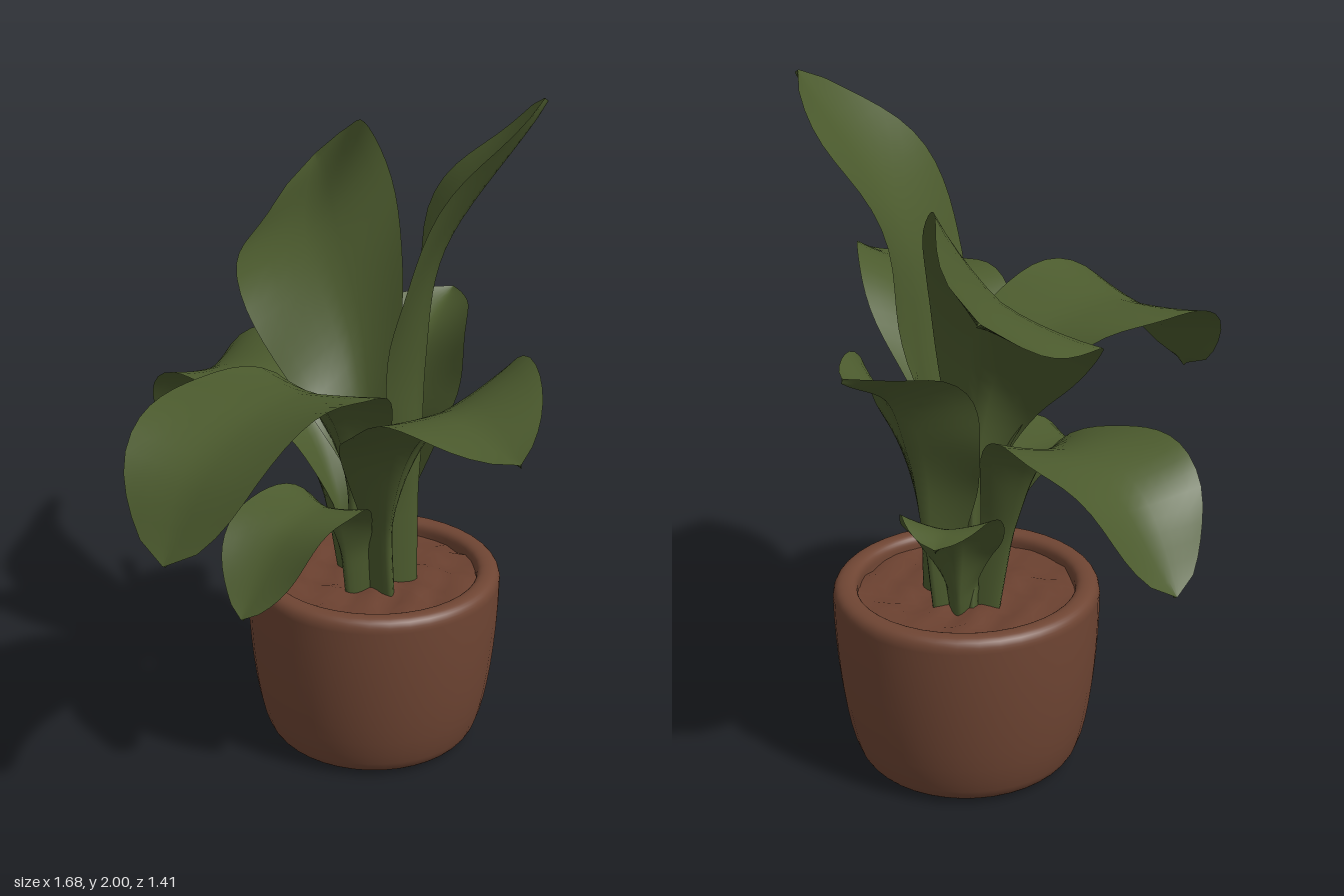
import * as THREE from 'three';

const V = (x, y, z) => new THREE.Vector3(x, y, z);
const POT = V(-0.018, 0, -0.255);

// Leaf with a channelled stalk, a curled blade and a thick midrib underneath.
// It roots near the pot centre and passes through the points; the last is the tip.
// A smaller taper gives a blunter tip.
function makeLeaf(name, material, { halfWidth, roll = 0, fold = 0.2, taper = 0.65 }, points) {
  const tip = points[points.length - 1];
  const lean = V(tip[0] - POT.x, 0, tip[2] - POT.z).normalize();
  const root = POT.clone().addScaledVector(lean, 0.055).setY(0.48);
  const path = new THREE.CatmullRomCurve3([root, ...points.map(p => V(...p))]);
  const across = V(lean.z * Math.cos(roll), Math.sin(roll), -lean.x * Math.cos(roll));
  const top = [], under = [], ROWS = 32, COLS = 10;
  for (let i = 0; i <= ROWS; i++) {
    const t = i / ROWS;
    const centre = path.getPointAt(t);
    const normal = path.getTangentAt(t).cross(across).normalize();
    // Narrow stalk that swells into a pointed oval blade
    const u = Math.max(0, (t - 0.2) / 0.8);
    const oval = Math.max(0, Math.sin(Math.PI * Math.pow(u, 1.4)));
    const blade = Math.pow(oval, u < 0.61 ? 0.85 : taper);
    const w = 0.003 + 0.045 * (1 - u) + halfWidth * blade;
    const stalk = 1 - THREE.MathUtils.smoothstep(t, 0.15, 0.5);
    const curl = fold + 0.45 * stalk;
    const thick = 0.008 + 0.055 * Math.pow(1 - t, 1.5);
    const upperRow = [], lowerRow = [];
    for (let j = 0; j <= COLS; j++) {
      const v = j / COLS * 2 - 1, e = Math.abs(v);
      const wave = 0.07 * Math.sin(t * 17 + (v > 0 ? 1.5 : 0)) * e * e * (1 - stalk);
      const lift = w * (curl * (Math.pow(e, 1.4) - 0.35) + wave);
      const p = centre.clone().addScaledVector(across, v * w).addScaledVector(normal, lift);
      const rib = thick * (stalk * (1 - e * e) + (1 - stalk) * Math.pow(1 - e, 3));
      upperRow.push(p);
      lowerRow.push(p.clone().addScaledVector(normal, -rib - 0.004 * (1 - e)));
    }
    top.push(upperRow);
    under.push(lowerRow);
  }
  const leaf = new THREE.Group();
  leaf.name = name;
  for (const [part, rows, facesUp] of [['upperSide', top, true], ['underside', under, false]]) {
    const mesh = new THREE.Mesh(sheet(rows, facesUp), material);
    mesh.name = part;
    leaf.add(mesh);
  }
  return leaf;
}

// Smooth surface over rows of points
function sheet(rows, facesUp) {
  const n = rows[0].length, index = [];
  for (let i = 0; i < rows.length - 1; i++) {
    for (let j = 0; j < n - 1; j++) {
      const a = i * n + j, b = a + 1, c = a + n, d = c + 1;
      if (facesUp) index.push(a, c, b, b, c, d);
      else index.push(a, b, c, b, d, c);
    }
  }
  const g = new THREE.BufferGeometry().setFromPoints(rows.flat());
  g.setIndex(index);
  g.computeVertexNormals();
  return g;
}

export function createModel() {
  const leafGreen = new THREE.MeshStandardMaterial({ color: 0x4c5b2e, side: THREE.DoubleSide });
  leafGreen.name = 'leafGreen';
  const terracotta = new THREE.MeshStandardMaterial({ color: 0x6f4533 });
  terracotta.name = 'terracotta';
  const soilBrown = new THREE.MeshStandardMaterial({ color: 0x6b4130 });
  soilBrown.name = 'soilBrown';

  const model = new THREE.Group();
  model.name = 'pottedPlant';

  // Pot with a rounded foot and rim
  const outline = new THREE.Path();
  outline.moveTo(0, 0);
  outline.lineTo(0.26, 0);
  outline.quadraticCurveTo(0.305, 0, 0.325, 0.05);
  outline.bezierCurveTo(0.36, 0.13, 0.383, 0.35, 0.383, 0.52);
  outline.quadraticCurveTo(0.383, 0.562, 0.345, 0.562);
  outline.quadraticCurveTo(0.312, 0.562, 0.312, 0.53);
  outline.lineTo(0.31, 0.47);
  const pot = new THREE.Mesh(new THREE.LatheGeometry(outline.getPoints(8), 40), terracotta);
  pot.name = 'pot';
  pot.position.copy(POT);
  model.add(pot);

  // Lumpy soil
  const soilGeo = new THREE.RingGeometry(0.001, 0.314, 36, 8).rotateX(-Math.PI / 2);
  const pos = soilGeo.attributes.position;
  for (let i = 0; i < pos.count; i++) {
    const x = pos.getX(i), z = pos.getZ(i);
    pos.setY(i, 0.012 * Math.sin(x * 31 + z * 9) * Math.cos(z * 37 - x * 13));
  }
  soilGeo.computeVertexNormals();
  const soil = new THREE.Mesh(soilGeo, soilBrown);
  soil.name = 'soil';
  soil.position.copy(POT).setY(0.52);
  model.add(soil);

  // Leaves: shape, then the spine above the root
  const addLeaf = (name, shape, ...points) =>
    model.add(makeLeaf(name, leafGreen, shape, points));
  addLeaf('broadLeaf', { halfWidth: 0.27, roll: -0.74, taper: 0.5 },
    [-0.03, 0.88, -0.24], [-0.12, 1.24, -0.25], [-0.37, 1.52, -0.34], [-0.73, 1.62, -0.65]);
  addLeaf('tallLeaf', { halfWidth: 0.255 },
    [0.03, 0.9, -0.31], [0.05, 1.22, -0.32], [0.12, 1.58, -0.33], [0.33, 2, -0.54]);
  addLeaf('leftLeaf', { halfWidth: 0.22, roll: 0.26, taper: 0.8 },
    [0.09, 0.8, -0.18], [0.23, 1.08, -0.13], [0.5, 1.29, -0.05], [0.84, 1.26, 0.06]);
  addLeaf('frontLeaf', { halfWidth: 0.24, roll: 0.06, fold: 0.15, taper: 0.55 },
    [0, 0.92, -0.17], [0.05, 1.2, 0], [0.11, 1.27, 0.3], [0.16, 1.17, 0.55], [0.2, 0.95, 0.7]);
  addLeaf('rightLeaf', { halfWidth: 0.21, roll: -0.1, taper: 0.6 },
    [-0.13, 0.8, -0.2], [-0.25, 1.02, -0.18], [-0.45, 1.1, -0.17], [-0.68, 1.04, -0.16],
    [-0.84, 0.82, -0.14]);
  addLeaf('backLeaf', { halfWidth: 0.17, fold: 0.45, taper: 0.8 },
    [-0.05, 0.8, -0.37], [-0.07, 1.05, -0.43], [-0.1, 1.23, -0.52], [-0.15, 1.31, -0.7]);
  addLeaf('smallFrontLeaf', { halfWidth: 0.14 },
    [0.02, 0.72, -0.12], [0.05, 0.86, 0], [0.08, 0.86, 0.18], [0.11, 0.64, 0.37]);
  addLeaf('smallBackLeaf', { halfWidth: 0.12 },
    [-0.14, 0.7, -0.36], [-0.2, 0.82, -0.41], [-0.27, 0.88, -0.48], [-0.34, 0.86, -0.55]);
  return model;
}
